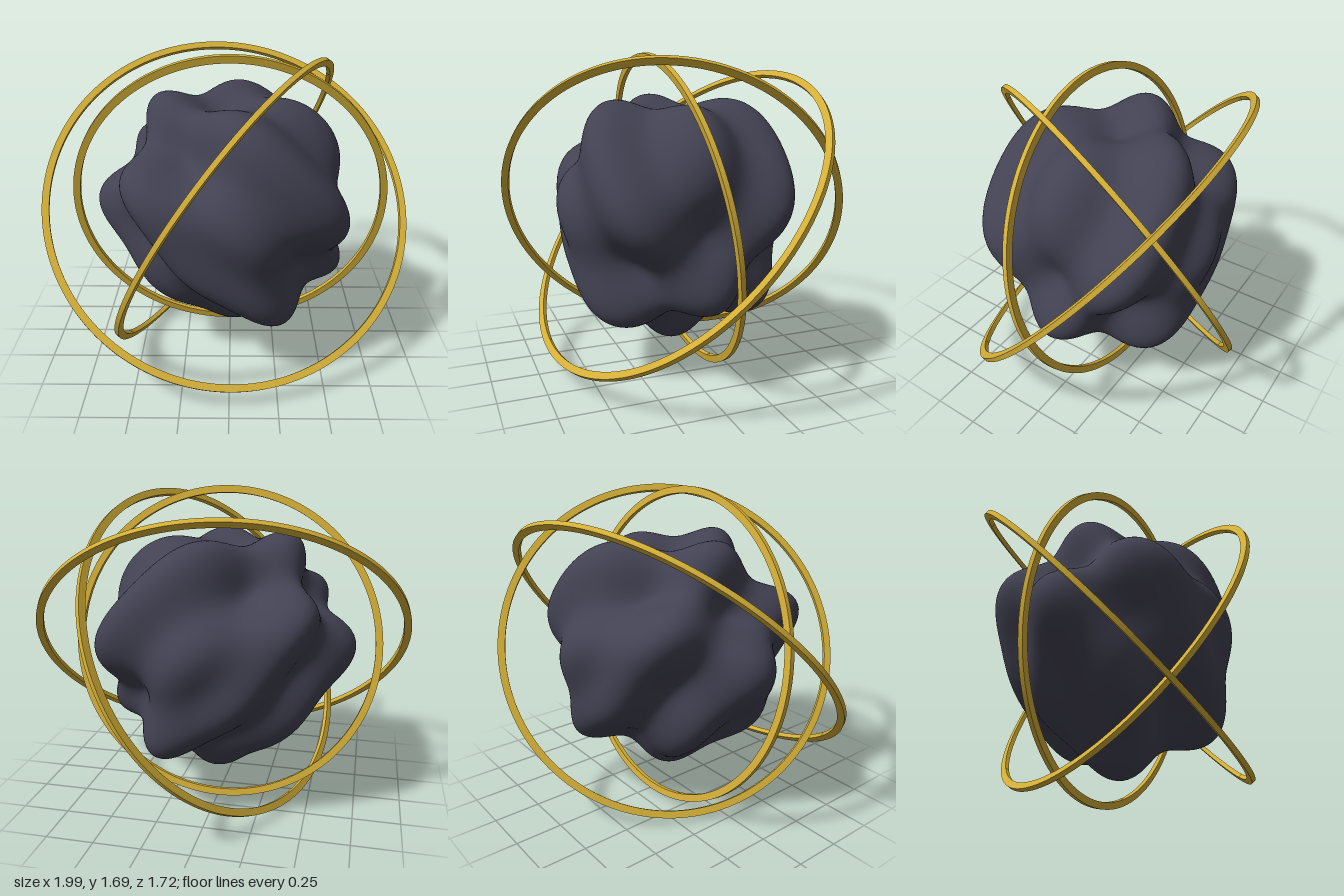
import * as THREE from 'three';
import { mergeVertices } from 'three/addons/utils/BufferGeometryUtils.js';

const CENTRE_Y = 0.85;

// Sphere pushed in and out by a wave pattern, giving smooth diagonal lumps
function lumpyCore(material) {
  let geometry = new THREE.IcosahedronGeometry(1, 32);
  geometry.deleteAttribute('uv');
  geometry.deleteAttribute('normal');
  geometry = mergeVertices(geometry, 1e-4);
  const position = geometry.attributes.position;
  const v = new THREE.Vector3();
  for (let i = 0; i < position.count; i++) {
    v.fromBufferAttribute(position, i).normalize();
    const wave = Math.sin(4.97 * (v.x + v.y)) * Math.cos(5.05 * v.z);
    v.multiplyScalar(0.611 + 0.106 * wave);
    position.setXYZ(i, v.x, v.y, v.z);
  }
  geometry.computeVertexNormals();
  const mesh = new THREE.Mesh(geometry, material);
  mesh.name = 'lumpyCore';
  return mesh;
}

// Flat hoop of rectangular section whose axis points along the given normal
function hoop(name, outerRadius, normal, material) {
  const width = 0.038, depth = 0.025;
  const shape = new THREE.Shape().absarc(0, 0, outerRadius, 0, Math.PI * 2);
  shape.holes.push(new THREE.Path().absarc(0, 0, outerRadius - width, 0, Math.PI * 2, true));
  const geometry = new THREE.ExtrudeGeometry(shape, { depth, bevelEnabled: false, curveSegments: 96 });
  geometry.translate(0, 0, -depth / 2);
  const mesh = new THREE.Mesh(geometry, material);
  mesh.name = name;
  mesh.quaternion.setFromUnitVectors(new THREE.Vector3(0, 0, 1), new THREE.Vector3(...normal).normalize());
  return mesh;
}

export function createModel() {
  const dark = new THREE.MeshStandardMaterial({ color: 0x434253 });
  dark.name = 'darkSlate';
  const gold = new THREE.MeshStandardMaterial({ color: 0xd4af37 });
  gold.name = 'gold';

  const model = new THREE.Group();
  model.name = 'ringedCore';
  const body = new THREE.Group();
  body.name = 'coreAndRings';
  body.position.y = CENTRE_Y;
  model.add(body);

  body.add(lumpyCore(dark));

  // Three nested rings, each tilted its own way
  body.add(hoop('innerRing', 0.855, [0, -0.177, 0.984], gold));
  body.add(hoop('middleRing', 0.928, [0.789, -0.48, 0.384], gold));
  body.add(hoop('outerRing', 1.005, [0.14, 0.67, 0.73], gold));
  return model;
}
